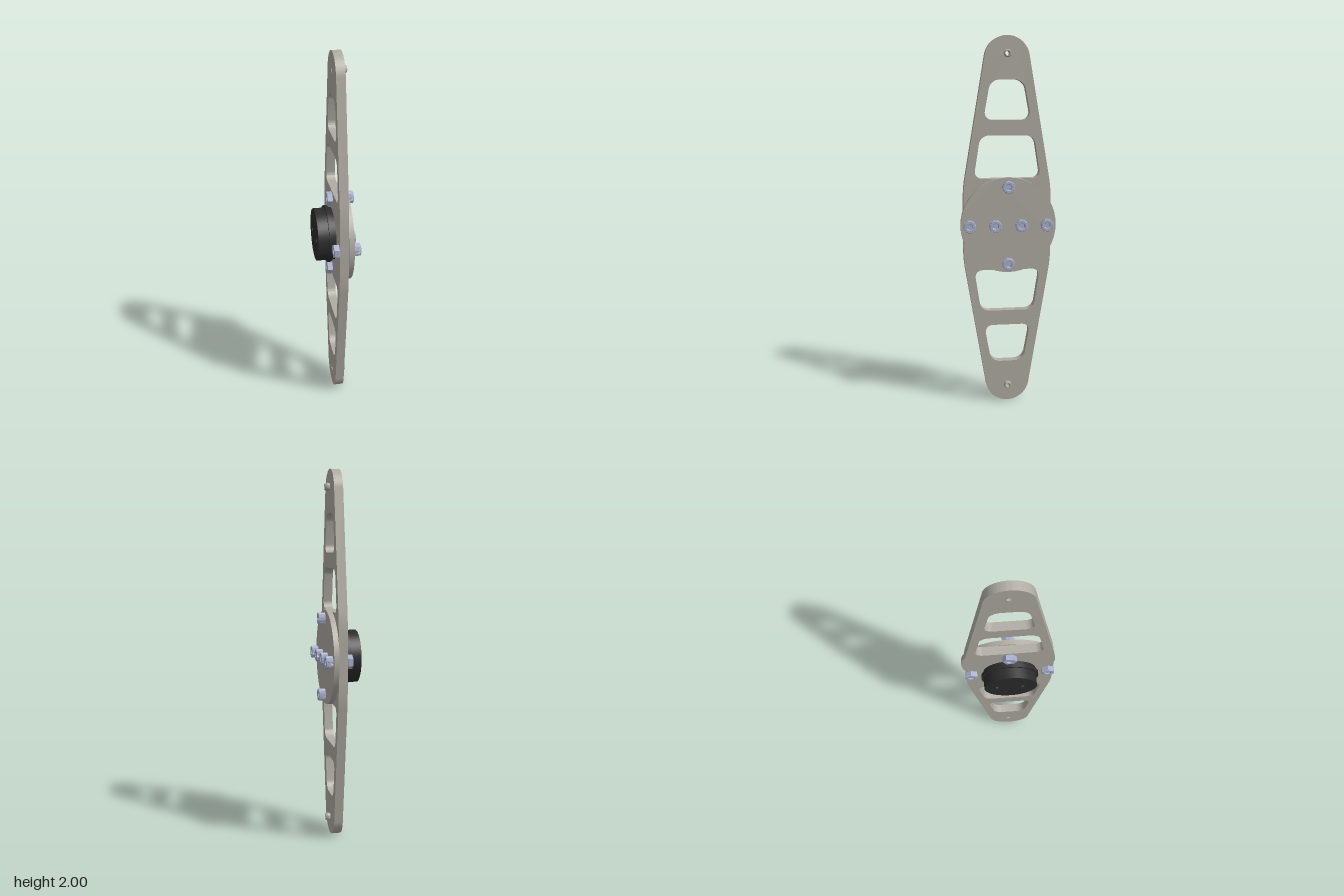
import * as THREE from 'three';
import { toCreasedNormals } from 'three/addons/utils/BufferGeometryUtils.js';

const mat = (color) => new THREE.MeshStandardMaterial({ color });

// Extrudes a shape drawn in the (-z, y) plane along x, from x0 to x1.
function slab(shape, x0, x1, bevel = 0) {
  const geo = new THREE.ExtrudeGeometry(shape, {
    depth: x1 - x0 - 2 * bevel, curveSegments: 24, bevelEnabled: bevel > 0,
    bevelThickness: bevel, bevelSize: bevel, bevelOffset: -bevel, bevelSegments: 1,
  });
  geo.translate(0, 0, x0 + bevel).rotateY(Math.PI / 2);
  return toCreasedNormals(geo, 0.5);
}

const circle = (r, x = 0, y = 0, Type = THREE.Path) => new Type().absarc(x, y, r, 0, Math.PI * 2, false);

// Regular polygon path; the radius may alternate to give teeth.
function polygon(n, r, r2 = r, Type = THREE.Path) {
  const pts = [];
  for (let i = 0; i < n; i++) {
    const a = (i / n) * Math.PI * 2, q = i % 2 ? r2 : r;
    pts.push(new THREE.Vector2(Math.cos(a) * q, Math.sin(a) * q));
  }
  return new Type(pts);
}

// Closed path through corner points, each corner rounded by r.
function rounded(points, r) {
  const p = points.map(([x, y]) => new THREE.Vector2(x, y));
  const path = new THREE.Path();
  p.forEach((c, i) => {
    const toward = (q) => q.clone().sub(c).setLength(r).add(c);
    const a = toward(p[(i + p.length - 1) % p.length]);
    const b = toward(p[(i + 1) % p.length]);
    if (i) path.lineTo(a.x, a.y); else path.moveTo(a.x, a.y);
    path.bezierCurveTo(a.x + (c.x - a.x) * 0.55, a.y + (c.y - a.y) * 0.55,
      b.x + (c.x - b.x) * 0.55, b.y + (c.y - b.y) * 0.55, b.x, b.y);
  });
  path.closePath();
  return path;
}

export function createModel() {
  const model = new THREE.Group();
  model.name = 'doubleArm';
  const body = new THREE.Group();
  body.name = 'armAssembly';
  body.position.set(0, 1, 0.003);
  model.add(body);

  const plateMat = mat(0xb0aca4), steelMat = mat(0xa8b0cc), hubMat = mat(0x2c2c2c);
  const add = (name, geo, material, parent = body) => {
    const mesh = new THREE.Mesh(geo, material);
    mesh.name = name;
    parent.add(mesh);
    return mesh;
  };

  // Tapered arm with rounded ends and cut-outs
  const tilt = 0.166, endY = 0.88, endR = 0.12;
  const arm = new THREE.Shape();
  arm.moveTo(0.238, -0.1);
  arm.lineTo(0.238, 0.1);
  arm.quadraticCurveTo(0.238, 0.19, 0.228, 0.25);
  arm.absarc(0, endY, endR, tilt, Math.PI - tilt, false);
  arm.lineTo(-0.228, 0.25);
  arm.quadraticCurveTo(-0.238, 0.19, -0.238, 0.1);
  arm.lineTo(-0.238, -0.1);
  arm.quadraticCurveTo(-0.238, -0.19, -0.228, -0.25);
  arm.absarc(0, -endY, endR, Math.PI + tilt, Math.PI * 2 - tilt, false);
  arm.lineTo(0.228, -0.25);
  arm.quadraticCurveTo(0.238, -0.19, 0.238, -0.1);
  for (const s of [1, -1]) {
    arm.holes.push(
      rounded([[-0.181, s * 0.25], [0.181, s * 0.25], [0.145, s * 0.48], [-0.145, s * 0.48]], 0.045),
      rounded([[-0.128, s * 0.562], [0.128, s * 0.562], [0.09, s * 0.772], [-0.09, s * 0.772]], 0.048),
      circle(0.014, 0, s * 0.907));
  }
  add('arm', slab(arm, -0.01, 0.038), plateMat);

  // Hollow rounded stud at each end of the arm
  const studProfile = [[0.013, 0], [0.017, 0], [0.02, 0.007], [0.021, 0.014], [0.02, 0.021],
    [0.016, 0.028], [0.013, 0.028], [0.013, 0]].map(([r, h]) => new THREE.Vector2(r, h));
  const studGeo = toCreasedNormals(new THREE.LatheGeometry(studProfile, 24), 0.6)
    .rotateZ(-Math.PI / 2);
  for (const s of [1, -1]) {
    add(s > 0 ? 'upperStud' : 'lowerStud', studGeo, plateMat).position.set(0.037, s * 0.907, 0);
  }

  // Round clamping disc
  const disc = circle(0.258, 0, 0, THREE.Shape);
  add('disc', slab(disc, 0.038, 0.066), plateMat).position.z = -0.003;

  // Hub with a flange and two screw holes
  const hub = circle(0.143, 0, 0, THREE.Shape);
  hub.holes.push(circle(0.014, 0.07, 0), circle(0.014, -0.07, 0));
  add('hub', slab(hub, -0.106, -0.01), hubMat);
  const flange = circle(0.155, 0, 0, THREE.Shape);
  flange.holes.push(circle(0.142));
  add('hubFlange', slab(flange, -0.048, -0.03), hubMat);

  // Knurled socket screws, and hexagonal nuts on the four outer ones
  const head = polygon(72, 0.033, 0.0315, THREE.Shape);
  head.holes.push(polygon(6, 0.017));
  const headGeo = slab(head, 0.066, 0.104, 0.002);
  const nut = polygon(6, 0.038, 0.038, THREE.Shape);
  nut.holes.push(circle(0.016));
  const nutGeo = slab(nut, -0.04, -0.01, 0.002);
  const shank = (x0, x1, r) => slab(circle(r, 0, 0, THREE.Shape), x0, x1);
  const longShank = shank(-0.034, 0.082, 0.0165);
  const shortShank = shank(-0.08, 0.082, 0.0138);

  const addScrew = (name, radius, angle, outer) => {
    const screw = new THREE.Group();
    screw.name = name;
    screw.position.set(0, Math.sin(angle) * radius, -Math.cos(angle) * radius);
    // Flats face outward from the centre of the disc
    screw.rotation.x = angle + Math.PI / 2;
    add('screwHead', headGeo, steelMat, screw);
    add('screwShank', outer ? longShank : shortShank, steelMat, screw);
    if (outer) add('nut', nutGeo, steelMat, screw);
    body.add(screw);
  };
  for (let i = 0; i < 4; i++) addScrew('outerScrew' + (i + 1), 0.209, i * Math.PI / 2, true);
  for (let i = 0; i < 2; i++) addScrew('innerScrew' + (i + 1), 0.071, i * Math.PI, false);

  return model;
}
